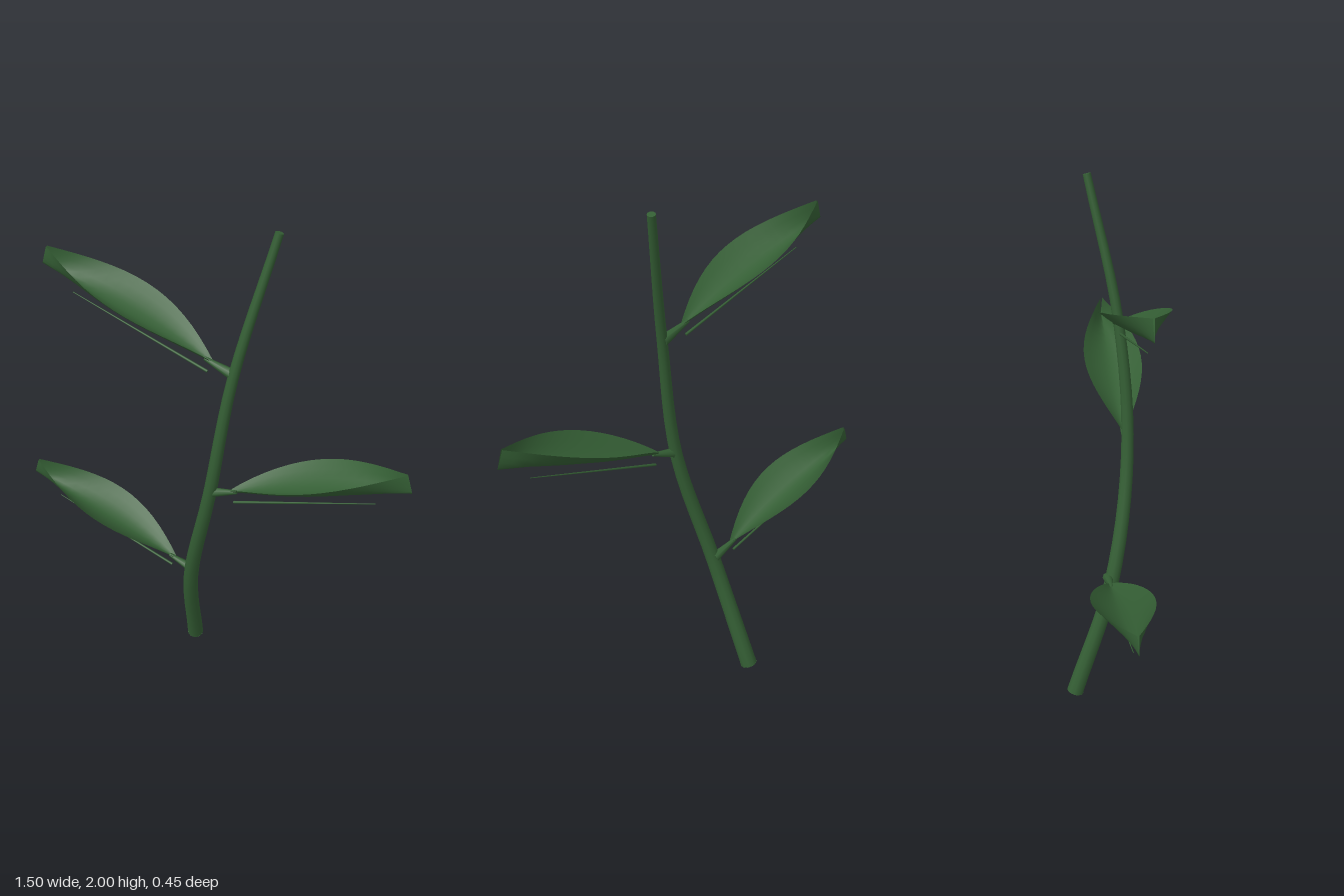
import * as THREE from 'three';

const green = new THREE.MeshStandardMaterial({ color: 0x345e34, side: THREE.DoubleSide });
green.name = 'leafGreen';

function part(name, geometry) {
  const mesh = new THREE.Mesh(geometry, green);
  mesh.name = name;
  return mesh;
}

// Round tapered rod lying along local +x
function rod(name, r0, r1, x0, x1, y) {
  const g = new THREE.CylinderGeometry(r1, r0, x1 - x0, 8);
  g.rotateZ(-Math.PI / 2);
  g.translate((x0 + x1) / 2, y, 0);
  return part(name, g);
}

// Curved stem, thinning towards the top
function createStem() {
  const stem = new THREE.Group();
  stem.name = 'stem';
  const path = new THREE.CatmullRomCurve3([
    [-0.18, 0.01, -0.14], [-0.07, 0.5, -0.01], [0.065, 1, 0.025],
    [0.127, 1.5, -0.02], [0.195, 1.995, -0.14],
  ].map((p) => new THREE.Vector3(...p)));
  const rings = 24, sides = 10;
  const radius = (u) => THREE.MathUtils.lerp(0.034, 0.014, u);
  const g = new THREE.TubeGeometry(path, rings, 1, sides);
  const pos = g.attributes.position, v = new THREE.Vector3();
  for (let i = 0; i <= rings; i++) {
    const c = path.getPointAt(i / rings);
    for (let j = 0; j <= sides; j++) {
      const k = i * (sides + 1) + j;
      v.fromBufferAttribute(pos, k).sub(c).multiplyScalar(radius(i / rings)).add(c);
      pos.setXYZ(k, v.x, v.y, v.z);
    }
  }
  stem.add(part('stemTube', g));
  // End caps
  for (const u of [0, 1]) {
    const cap = part('stemCap', new THREE.CircleGeometry(radius(u), sides));
    const out = path.getTangentAt(u).multiplyScalar(u ? 1 : -1);
    cap.position.copy(path.getPointAt(u));
    cap.quaternion.setFromUnitVectors(new THREE.Vector3(0, 0, 1), out);
    stem.add(cap);
  }
  return stem;
}

// Pointed blade with raised rims that close together at the tip
function createBlade(length) {
  const g = new THREE.PlaneGeometry(1, 2, 16, 8);
  const pos = g.attributes.position;
  for (let i = 0; i < pos.count; i++) {
    const t = pos.getX(i) + 0.5, s = pos.getY(i);
    const halfWidth = 0.003 + 0.108 * Math.sin(Math.PI * t);
    const rim = 0.006 + 0.064 * (1 - Math.pow(1 - t, 4));
    pos.setXYZ(i, t * length, rim * Math.pow(Math.abs(s), 1.6), -s * halfWidth);
  }
  g.computeVertexNormals();
  return part('leafBlade', g);
}

// Leaf with stalk and a fine rib below the blade
function createLeaf(x, y, yaw) {
  const leaf = new THREE.Group();
  leaf.name = 'leaf';
  leaf.add(
    createBlade(0.68),
    rod('leafStalk', 0.02, 0.007, -0.085, 0.03, 0),
    rod('leafRib', 0.005, 0.0015, 0.005, 0.545, -0.042),
  );
  leaf.rotation.order = 'YZX';
  leaf.rotation.set(0, yaw, 0.33);
  leaf.position.set(x, y, 0);
  return leaf;
}

export function createModel() {
  const model = new THREE.Group();
  model.name = 'leafyBranch';
  model.add(createStem());
  const yaw = 0.33;
  model.add(
    createLeaf(-0.145, 0.545, Math.PI + yaw),
    createLeaf(0.14, 1.04, yaw),
    createLeaf(0.05, 1.535, Math.PI + yaw),
  );
  return model;
}
